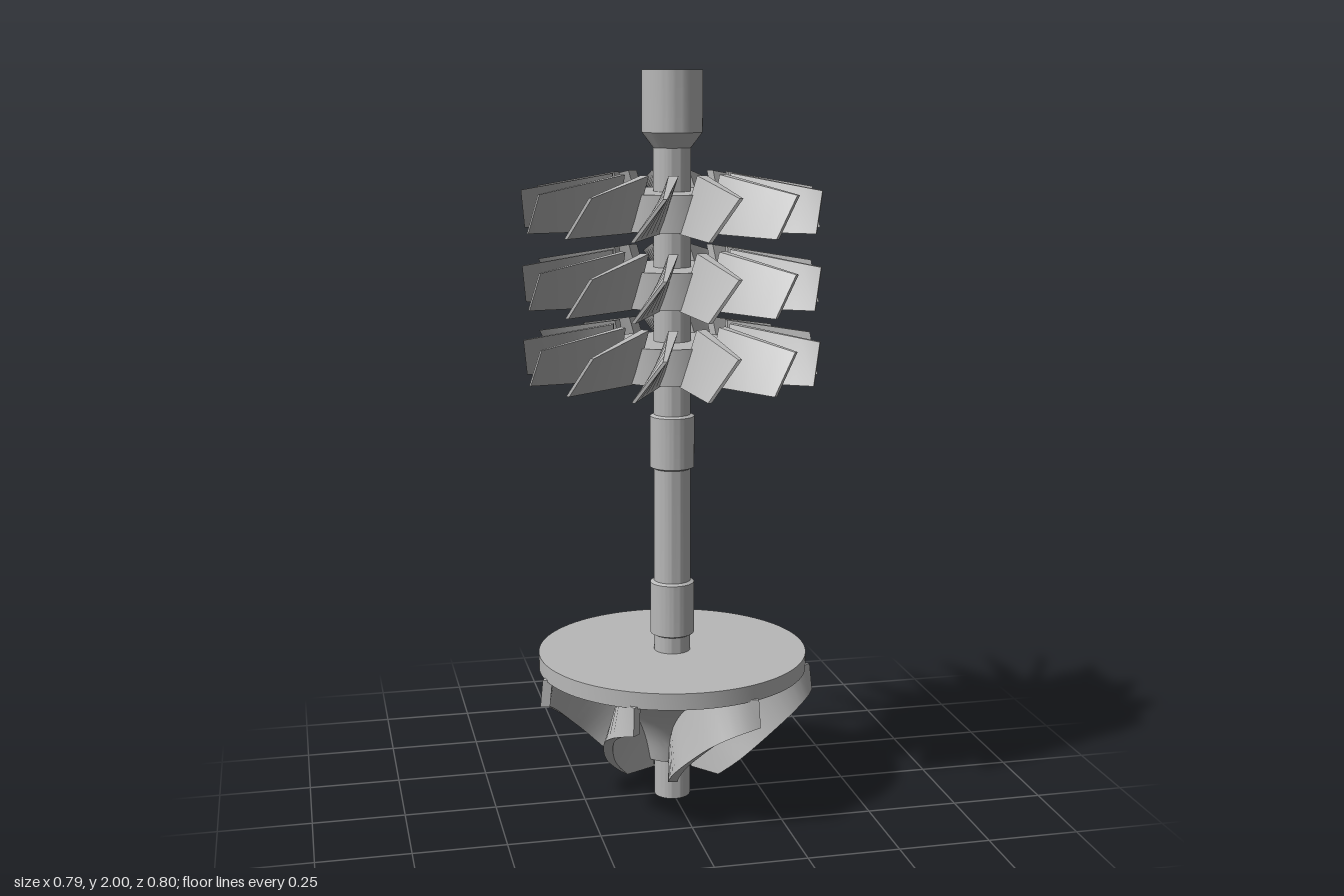
import * as THREE from 'three';
import { toCreasedNormals } from 'three/addons/utils/BufferGeometryUtils.js';

const steel = new THREE.MeshStandardMaterial({ color: 0xb8b8b8 });
steel.name = 'steel grey';

function addMesh(parent, name, geometry) {
  const mesh = new THREE.Mesh(geometry, steel);
  mesh.name = name;
  parent.add(mesh);
  return mesh;
}

// Solid of revolution from [radius, height] pairs
function turned(points, segments = 64) {
  const profile = points.map(([r, y]) => new THREE.Vector2(r, y));
  return toCreasedNormals(new THREE.LatheGeometry(profile, segments), 0.5);
}

// Closed solid through four-cornered cross-sections
function loft(sections) {
  const index = [];
  const last = (sections.length - 1) * 4;
  for (let i = 0; i < last; i += 4) {
    for (let j = 0; j < 4; j++) {
      const k = (j + 1) % 4;
      index.push(i + j, i + k, i + 4 + k, i + j, i + 4 + k, i + 4 + j);
    }
  }
  index.push(0, 2, 1, 0, 3, 2, last, last + 1, last + 2, last, last + 2, last + 3);
  const geometry = new THREE.BufferGeometry();
  geometry.setAttribute('position', new THREE.Float32BufferAttribute(sections.flat(2), 3));
  geometry.setIndex(index);
  return toCreasedNormals(geometry, 0.6);
}

// Twisted blade pointing along +x: steep and thick at the root, flat and thin at the tip
function turbineBlade() {
  const sections = [];
  for (let i = 0; i <= 5; i++) {
    const t = i / 5;
    const x = THREE.MathUtils.lerp(0.155, 0.395, t);
    const top = THREE.MathUtils.lerp(0.148, 0.105, t);
    const half = THREE.MathUtils.lerp(0.013, 0.005, t);
    const zTop = THREE.MathUtils.lerp(-0.026, -0.04, t);
    const zLow = THREE.MathUtils.lerp(0.022, 0.04, t);
    sections.push([
      [x, 0, zLow - half], [x, top, zTop - half],
      [x, top, zTop + half], [x, 0, zLow + half],
    ]);
  }
  return loft(sections);
}

// Swept impeller vane, from the rim inward and down around the hub
function impellerVane() {
  const curve = (pts) => new THREE.SplineCurve(pts.map(([r, y]) => new THREE.Vector2(r, y)));
  const outer = curve([[0.378, 0.31], [0.335, 0.27], [0.27, 0.2], [0.22, 0.145], [0.17, 0.1]]);
  const root = curve([[0.37, 0.385], [0.27, 0.385], [0.17, 0.31], [0.105, 0.22], [0.075, 0.1]]);
  const angle = (t) => 0.64 * (1 - Math.pow(1 - t, 1.7));
  const path = (t) => {
    const r = (outer.getPoint(t).x + root.getPoint(t).x) / 2;
    return new THREE.Vector2(r * Math.cos(angle(t)), r * Math.sin(angle(t)));
  };
  const sections = [];
  const steps = 18;
  for (let i = 0; i <= steps; i++) {
    const t = i / steps;
    const dir = path(Math.min(1, t + 0.02)).sub(path(Math.max(0, t - 0.02))).normalize();
    const half = 0.013;
    const corner = (p, side) => [
      p.x * Math.cos(angle(t)) - dir.y * half * side,
      p.y,
      p.x * Math.sin(angle(t)) + dir.x * half * side,
    ];
    const low = outer.getPoint(t);
    const high = root.getPoint(t);
    sections.push([corner(low, -1), corner(high, -1), corner(high, 1), corner(low, 1)]);
  }
  return loft(sections);
}

export function createModel() {
  const model = new THREE.Group();
  model.name = 'turbineRotor';

  // Stepped shaft with two bearing seats, a top collar and a blind centre hole
  addMesh(model, 'shaft', turned([
    [0, 0], [0.05, 0], [0.05, 0.47], [0.06, 0.475], [0.06, 0.62], [0.05, 0.625],
    [0.05, 0.94], [0.06, 0.945], [0.06, 1.085], [0.05, 1.09], [0.05, 1.8],
    [0.08, 1.84], [0.08, 2], [0.035, 2], [0.031, 1.99], [0.031, 1.9], [0, 1.9],
  ]));

  // Three turbine stages of thirteen blades
  const bladeGeometry = turbineBlade();
  const bladeCount = 13;
  [1.19, 1.388, 1.587].forEach((y, s) => {
    const stage = new THREE.Group();
    stage.name = `turbineStage${s + 1}`;
    stage.position.y = y;
    addMesh(stage, 'turbineHub', turned([[0, 0.003], [0.168, 0.003], [0.168, 0.1], [0, 0.1]]));
    for (let i = 0; i < bladeCount; i++) {
      addMesh(stage, 'turbineBlade', bladeGeometry).rotation.y = -i * 2 * Math.PI / bladeCount;
    }
    model.add(stage);
  });

  // Impeller: back plate, flared hub and seven swept vanes
  const impeller = new THREE.Group();
  impeller.name = 'impeller';
  addMesh(impeller, 'backPlate', turned([[0, 0.38], [0.37, 0.38], [0.37, 0.425], [0, 0.425]], 96));
  const flare = new THREE.SplineCurve([
    [0.09, 0.125], [0.112, 0.2], [0.155, 0.27], [0.23, 0.34], [0.35, 0.381],
  ].map(([r, y]) => new THREE.Vector2(r, y))).getPoints(20).map((p) => [p.x, p.y]);
  addMesh(impeller, 'impellerHub', turned([[0, 0.125], ...flare]));
  const vaneGeometry = impellerVane();
  const vaneCount = 7;
  for (let i = 0; i < vaneCount; i++) {
    addMesh(impeller, 'impellerVane', vaneGeometry).rotation.y = -(0.24 + i * 2 * Math.PI / vaneCount);
  }
  model.add(impeller);

  return model;
}
